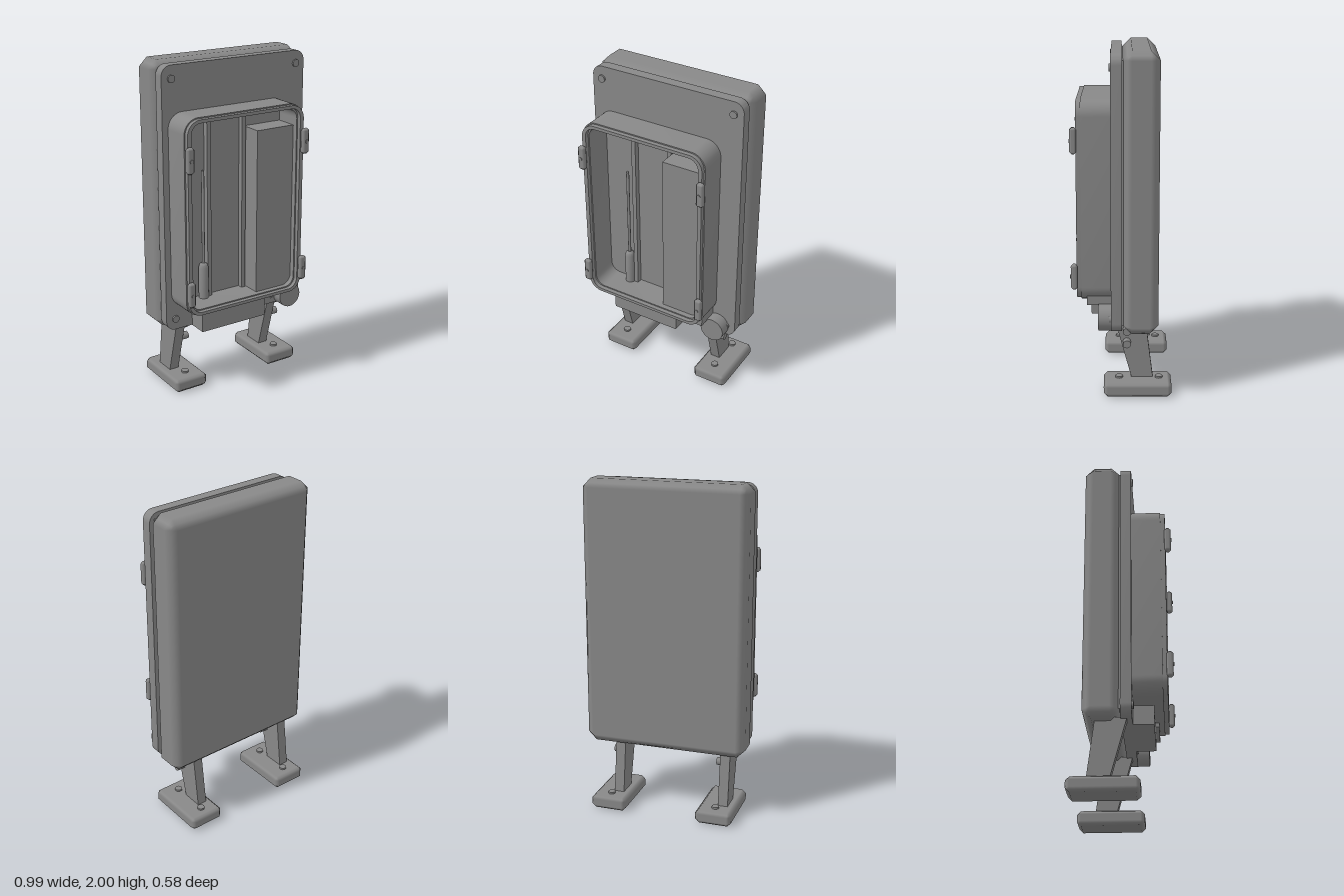
import * as THREE from 'three';
import { toCreasedNormals } from 'three/addons/utils/BufferGeometryUtils.js';

// Box with 45 degree edges of size r, shaded softly across the edges
function chamferBox(w, h, d, r) {
  const geo = new THREE.BoxGeometry(w, h, d, 3, 3, 3);
  const half = [w / 2, h / 2, d / 2];
  const pos = geo.attributes.position;
  const nor = geo.attributes.normal;
  for (let i = 0; i < pos.count; i++) {
    const p = [pos.getX(i), pos.getY(i), pos.getZ(i)];
    const outer = p.map((v, a) => Math.abs(v) > half[a] * 0.9);
    const k = outer.filter(Boolean).length;
    const q = p.map((v, a) => Math.sign(v) * (half[a] - (outer[a] ? r * (k - 1) / k : r)));
    const n = p.map((v, a) => (outer[a] ? Math.sign(v) / Math.sqrt(k) : 0));
    pos.setXYZ(i, ...q);
    nor.setXYZ(i, ...n);
  }
  return geo;
}

// Rounded rectangle outline
function roundedRect(target, x0, x1, y0, y1, r) {
  target.moveTo(x0 + r, y0);
  target.lineTo(x1 - r, y0);
  target.absarc(x1 - r, y0 + r, r, -Math.PI / 2, 0);
  target.lineTo(x1, y1 - r);
  target.absarc(x1 - r, y1 - r, r, 0, Math.PI / 2);
  target.lineTo(x0 + r, y1);
  target.absarc(x0 + r, y1 - r, r, Math.PI / 2, Math.PI);
  target.lineTo(x0, y0 + r);
  target.absarc(x0 + r, y0 + r, r, Math.PI, Math.PI * 1.5);
  return target;
}

function extrude(shape, depth, z) {
  const geo = new THREE.ExtrudeGeometry(shape, { depth, bevelEnabled: false, curveSegments: 5 });
  return toCreasedNormals(geo.translate(0, 0, z), 0.6);
}

export function createModel() {
  const group = new THREE.Group();
  const grey = new THREE.MeshStandardMaterial({ color: 0x888888 });
  grey.name = 'grey';

  const add = (name, geo) => {
    const mesh = new THREE.Mesh(geo, grey);
    mesh.name = name;
    group.add(mesh);
    return mesh;
  };
  // Boxes are given by their limits on each axis
  const box = (name, x0, x1, y0, y1, z0, z1, r = 0) => {
    const size = [x1 - x0, y1 - y0, z1 - z0];
    const geo = r ? chamferBox(...size, r) : new THREE.BoxGeometry(...size);
    return add(name, geo.translate((x0 + x1) / 2, (y0 + y1) / 2, (z0 + z1) / 2));
  };
  const cylinder = (name, axis, r, length, x, y, z, sides = 20) => {
    const geo = new THREE.CylinderGeometry(r, r, length, sides);
    if (axis === 'x') geo.rotateZ(-Math.PI / 2);
    if (axis === 'z') geo.rotateX(Math.PI / 2);
    return add(name, geo.translate(x, y, z));
  };

  // Rear case and front plate
  box('rearCase', -0.495, 0.495, 0.4, 2, -0.208, -0.005, 0.05);
  box('seam', -0.45, 0.45, 0.45, 1.95, -0.02, 0.01);
  add('frontPlate', extrude(roundedRect(new THREE.Shape(), -0.48, 0.48, 0.412, 1.985, 0.06), 0.062, 0));
  for (const x of [-0.42, 0.42]) {
    for (const y of [0.48, 1.91]) cylinder('plateScrew', 'z', 0.022, 0.02, x, y, 0.062);
  }

  // Open window frame: deep wall and a slightly inset front lip
  const frame = (inset) => {
    const shape = roundedRect(new THREE.Shape(),
      -0.443 + inset, 0.35 - inset, 0.555 + inset, 1.72 - inset, 0.09 - inset);
    shape.holes.push(roundedRect(new THREE.Path(),
      -0.405 - inset, 0.312 + inset, 0.588 - inset, 1.687 + inset, 0.06));
    return shape;
  };
  add('frameWall', extrude(frame(0), 0.172, 0.06));
  add('frameLip', extrude(frame(0.007), 0.026, 0.232));

  // Clasps on the frame edges
  for (const x of [-0.431, 0.344]) {
    for (const y of [0.71, 1.498]) {
      box('clasp', x - 0.024, x + 0.024, y - 0.075, y + 0.075, 0.253, 0.291, 0.013);
      cylinder('claspPin', 'z', 0.011, 0.006, x, y, 0.292, 12);
    }
  }

  // Inner rails with end blocks
  for (const x of [-0.2, 0.038]) {
    box('rail', x - 0.013, x + 0.013, 0.575, 1.695, 0.06, 0.095);
    box('railBlock', x - 0.019, x + 0.019, 1.66, 1.695, 0.06, 0.105);
  }
  box('topTab', -0.115, -0.04, 1.678, 1.695, 0.06, 0.1);

  // Side compartment, probe and its handle
  box('sideCompartment', 0.06, 0.33, 0.532, 1.582, 0.06, 0.2);
  cylinder('probe', 'y', 0.009, 0.6, -0.243, 1.07, 0.095, 12);
  const handle = [[0, 0.59], [0.03, 0.59], [0.03, 0.78], [0.024, 0.8], [0.012, 0.81], [0, 0.81]]
    .map(([r, y]) => new THREE.Vector2(r, y));
  add('probeHandle', toCreasedNormals(new THREE.LatheGeometry(handle, 16).translate(-0.243, 0, 0.095), 0.6));

  // Lower box, dial and its scale marks
  box('lowerBox', -0.305, 0.138, 0.41, 0.522, 0.06, 0.18);
  cylinder('dial', 'z', 0.075, 0.075, 0.362, 0.47, 0.0975, 32);
  for (const y of [0.45, 0.472, 0.494]) box('dialMark', 0.265, 0.29, y - 0.004, y + 0.004, 0.06, 0.068);

  // Slanted legs, feet and bolts
  const legSide = new THREE.Shape([[0.035, 0.42], [-0.14, 0.42], [-0.184, 0.07], [-0.06, 0.07]]
    .map(([z, y]) => new THREE.Vector2(-z, y)));
  for (const [legX, footX] of [[-0.369, -0.334], [0.292, 0.328]]) {
    const leg = new THREE.ExtrudeGeometry(legSide, { depth: 0.06, bevelEnabled: false });
    add('leg', leg.translate(0, 0, -0.03).rotateY(Math.PI / 2).translate(legX, 0, 0));
    for (const y of [0.305, 0.382]) cylinder('legBolt', 'x', 0.023, 0.06, legX + 0.05, y, -0.03);
    box('foot', footX - 0.11, footX + 0.11, 0, 0.085, -0.29, 0.105, 0.023);
    for (const z of [0.015, -0.217]) cylinder('footBolt', 'y', 0.022, 0.02, footX, 0.086, z);
  }
  return group;
}
